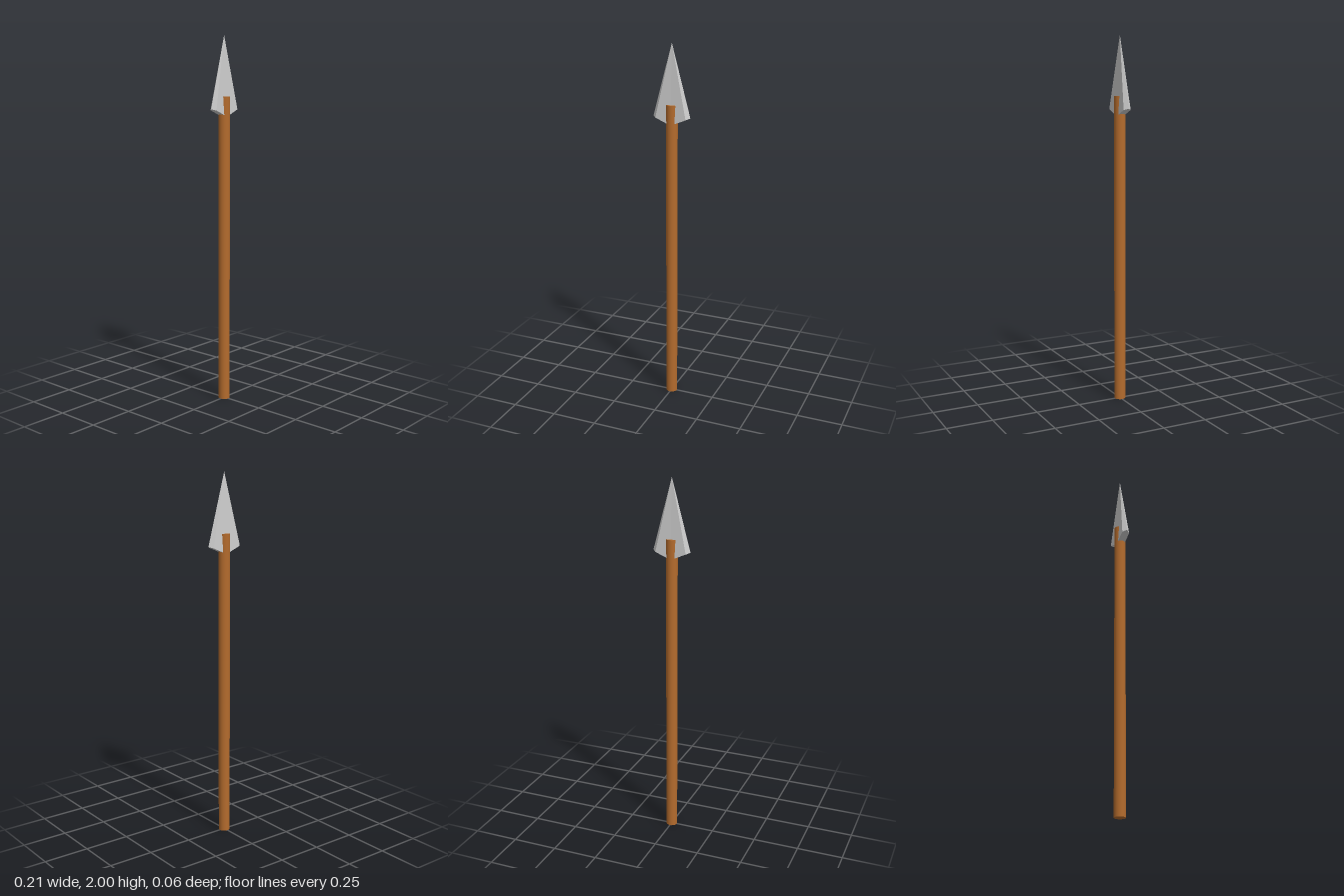
import * as THREE from 'three';

// Flat-sided blade: a ring of lower corners joined to a tip above and a notch centre below
function bladeGeometry() {
  const tip = [0, 2, 0];
  const keel = [0, 1.573, 0];
  const ring = [
    [0.104, 1.616, 0], [0.085, 1.609, 0.021], [0, 1.573, 0.021], [-0.085, 1.609, 0.021],
    [-0.104, 1.616, 0], [-0.085, 1.609, -0.021], [0, 1.573, -0.021], [0.085, 1.609, -0.021],
  ];
  const positions = [];
  ring.forEach((p, i) => {
    const next = ring[(i + 1) % ring.length];
    positions.push(...tip, ...next, ...p); // side facet
    positions.push(...keel, ...p, ...next); // underside facet
  });
  const geometry = new THREE.BufferGeometry();
  geometry.setAttribute('position', new THREE.Float32BufferAttribute(positions, 3));
  geometry.computeVertexNormals();
  return geometry;
}

export function createModel() {
  const group = new THREE.Group();
  group.name = 'spear';

  // Round wooden shaft
  const shaftLength = 1.68;
  const shaft = new THREE.Mesh(
    new THREE.CylinderGeometry(0.031, 0.031, shaftLength, 32),
    new THREE.MeshStandardMaterial({ color: 0xb36b2d }),
  );
  shaft.name = 'shaft';
  shaft.position.y = shaftLength / 2;
  group.add(shaft);

  // Metal spearhead
  const head = new THREE.Mesh(
    bladeGeometry(),
    new THREE.MeshStandardMaterial({ color: 0xcccccc, flatShading: true }),
  );
  head.name = 'spearhead';
  group.add(head);

  return group;
}
